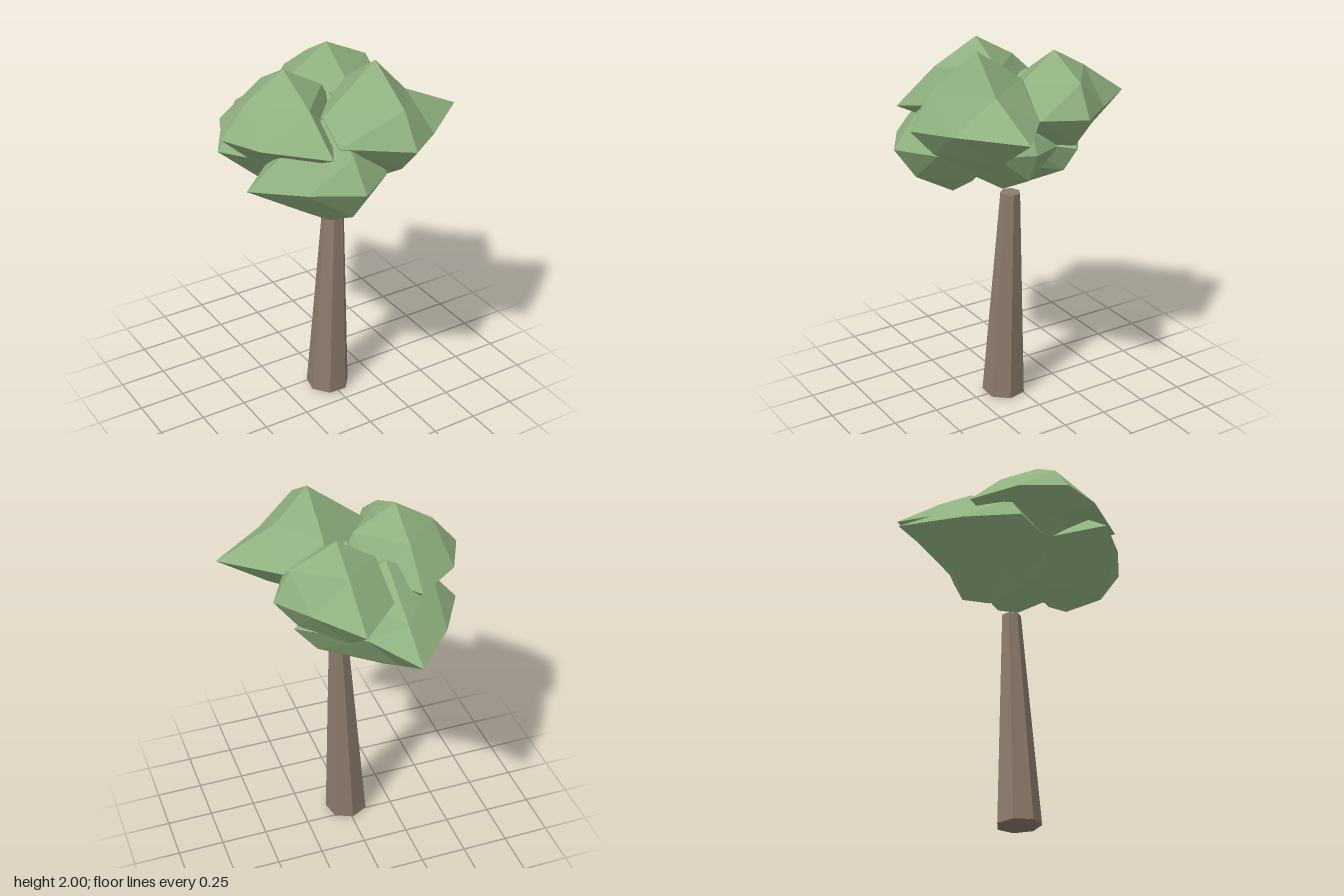
import * as THREE from 'three';

const leafMaterial = new THREE.MeshStandardMaterial({ color: 0x8fb07f, flatShading: true });
const barkMaterial = new THREE.MeshStandardMaterial({ color: 0x8b7b6c, flatShading: true });

// Uneven once-divided octahedron.
// tips: reach along +x -x +y -y +z -z.
// xy, yz, xz: edge points in each plane, as pairs for the signs ++ -+ +- --
// (yz runs ++ +- -+ --).
function leafClump(name, center, tips, xy, yz, xz) {
  const positions = [];
  const neg = (s) => (s < 0 ? 1 : 0);
  for (const sx of [1, -1]) for (const sy of [1, -1]) for (const sz of [1, -1]) {
    const i = 2 * (neg(sx) + 2 * neg(sy));
    const j = 2 * (2 * neg(sy) + neg(sz));
    const k = 2 * (neg(sx) + 2 * neg(sz));
    const X = [sx * tips[neg(sx)], 0, 0];
    const Y = [0, sy * tips[2 + neg(sy)], 0];
    const Z = [0, 0, sz * tips[4 + neg(sz)]];
    const XY = [sx * xy[i], sy * xy[i + 1], 0];
    const YZ = [0, sy * yz[j], sz * yz[j + 1]];
    const XZ = [sx * xz[k], 0, sz * xz[k + 1]];
    for (const [a, b, c] of [[X, XY, XZ], [XY, Y, YZ], [XZ, YZ, Z], [XY, YZ, XZ]]) {
      if (sx * sy * sz > 0) positions.push(...a, ...b, ...c);
      else positions.push(...a, ...c, ...b);
    }
  }
  const geometry = new THREE.BufferGeometry();
  geometry.setAttribute('position', new THREE.Float32BufferAttribute(positions, 3));
  geometry.computeVertexNormals();
  const mesh = new THREE.Mesh(geometry, leafMaterial);
  mesh.name = name;
  mesh.position.set(...center);
  return mesh;
}

export function createModel() {
  const tree = new THREE.Group();
  tree.name = 'tree';

  // Leaning seven-sided trunk
  const base = new THREE.Vector3(-0.005, 0.009, 0.07);
  const top = new THREE.Vector3(0.04, 1.19, 0.052);
  const axis = top.clone().sub(base);
  const trunkGeometry = new THREE.CylinderGeometry(0.053, 0.118, axis.length(), 7);
  trunkGeometry.rotateY(Math.PI);
  const trunk = new THREE.Mesh(trunkGeometry, barkMaterial);
  trunk.name = 'trunk';
  trunk.position.copy(base).add(top).multiplyScalar(0.5);
  trunk.quaternion.setFromUnitVectors(new THREE.Vector3(0, 1, 0), axis.normalize());
  tree.add(trunk);

  const crown = new THREE.Group();
  crown.name = 'crown';
  tree.add(crown);

  // Upper ring of three clumps
  crown.add(leafClump('upperFrontClump', [0.12, 1.66, 0.295],
    [0.49, 0.295, 0.34, 0.3, 0.375, 0.37],
    [0.18, 0.15, 0.295, 0.105, 0.22, 0.18, 0.2, 0.17],
    [0.175, 0.26, 0.165, 0.255, 0.14, 0.25, 0.18, 0.2],
    [0.19, 0.245, 0.295, 0.155, 0.21, 0.23, 0.25, 0.2]));
  crown.add(leafClump('upperBackClump', [0.12, 1.66, -0.155],
    [0.325, 0.24, 0.28, 0.3, 0.35, 0.435],
    [0.24, 0.165, 0.2, 0.15, 0.2, 0.17, 0.2, 0.17],
    [0.14, 0.19, 0.175, 0.185, 0.18, 0.2, 0.18, 0.21],
    [0.215, 0.21, 0.22, 0.2, 0.185, 0.185, 0.225, 0.2]));
  crown.add(leafClump('upperRightClump', [-0.265, 1.66, 0.07],
    [0.3, 0.345, 0.295, 0.3, 0.47, 0.4],
    [0.22, 0.165, 0.205, 0.165, 0.2, 0.17, 0.225, 0.11],
    [0.17, 0.25, 0.17, 0.22, 0.13, 0.22, 0.17, 0.2],
    [0.2, 0.125, 0.245, 0.21, 0.2, 0.17, 0.235, 0.23]));

  // Lower clumps and the core
  crown.add(leafClump('lowerFrontClump', [-0.135, 1.48, 0.295],
    [0.36, 0.465, 0.3, 0.29, 0.335, 0.35],
    [0.22, 0.17, 0.295, 0.12, 0.2, 0.17, 0.125, 0.215],
    [0.15, 0.22, 0.18, 0.22, 0.17, 0.215, 0.17, 0.2],
    [0.2, 0.2, 0.245, 0.19, 0.22, 0.2, 0.25, 0.2]));
  crown.add(leafClump('lowerBackClump', [-0.135, 1.48, -0.155],
    [0.48, 0.385, 0.3, 0.335, 0.35, 0.52],
    [0.22, 0.16, 0.25, 0.16, 0.36, 0.15, 0.17, 0.19],
    [0.17, 0.22, 0.12, 0.315, 0.19, 0.2, 0.205, 0.2],
    [0.22, 0.2, 0.24, 0.2, 0.17, 0.22, 0.23, 0.26]));
  crown.add(leafClump('coreClump', [-0.008, 1.48, 0.07],
    [0.33, 0.35, 0.3, 0.285, 0.35, 0.35],
    [0.28, 0.1, 0.22, 0.17, 0.25, 0.16, 0.2, 0.17],
    [0.18, 0.22, 0.18, 0.22, 0.16, 0.2, 0.16, 0.2],
    [0.25, 0.19, 0.22, 0.2, 0.25, 0.19, 0.22, 0.2]));

  return tree;
}
